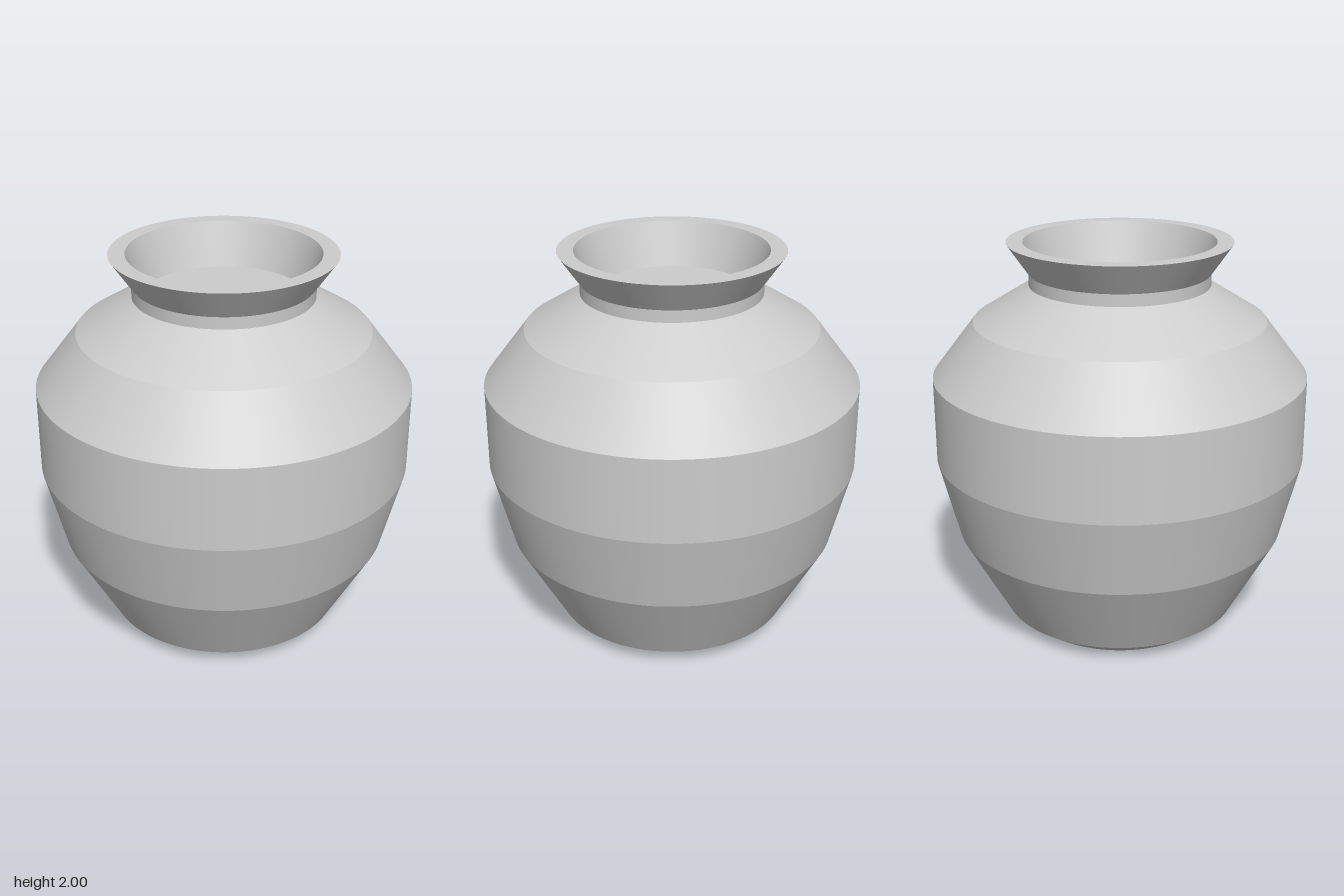
import * as THREE from 'three';
import { mergeGeometries } from 'three/addons/utils/BufferGeometryUtils.js';

const SEGMENTS = 96;

// Revolves each profile segment on its own: smooth around, crisp between bands.
function bandedLathe(profile) {
  const bands = [];
  for (let i = 0; i < profile.length - 1; i++) {
    const pair = [profile[i], profile[i + 1]].map(([r, y]) => new THREE.Vector2(r, y));
    bands.push(new THREE.LatheGeometry(pair, SEGMENTS));
  }
  return mergeGeometries(bands);
}

export function createModel() {
  const vase = new THREE.Group();
  vase.name = 'vase';
  const clay = new THREE.MeshStandardMaterial({ color: 0xcccccc });
  clay.name = 'greyClay';

  const parts = {
    // Flat base, faceted belly and shoulders
    body: [[0, 0], [0.5, 0], [0.61, 0.08], [0.84, 0.505], [0.94, 0.91], [0.94, 1.335], [0.73, 1.61], [0.45, 1.785]],
    // Short collar and flared lip
    neck: [[0.45, 1.785], [0.45, 1.845], [0.557, 2], [0.475, 2]],
    // Tapered mouth closed by a shallow floor
    mouth: [[0.475, 2], [0.4, 1.78], [0, 1.78]],
  };

  for (const [name, profile] of Object.entries(parts)) {
    const mesh = new THREE.Mesh(bandedLathe(profile), clay);
    mesh.name = name;
    vase.add(mesh);
  }
  return vase;
}
